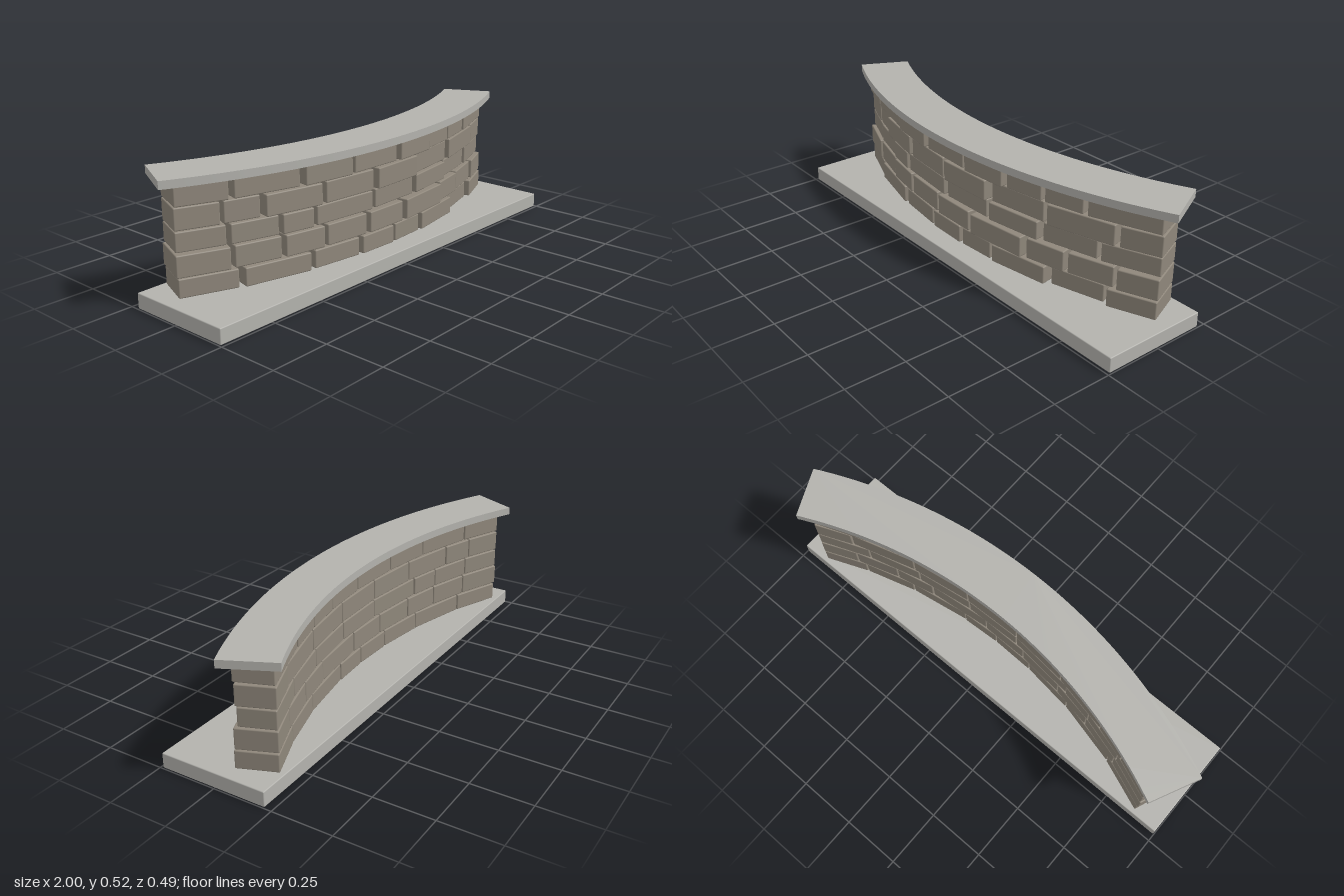
import * as THREE from 'three';
import { RoundedBoxGeometry } from 'three/addons/geometries/RoundedBoxGeometry.js';
import { toCreasedNormals } from 'three/addons/utils/BufferGeometryUtils.js';

// The wall bends around a vertical axis behind it
const CENTRE_Z = -2.124, WALL_IN = 2.111, WALL_OUT = 2.277;

// Each course: bottom, top, joint positions along the front, and how far each brick's face is pushed out
const courses = [
  { y: [0.065, 0.14], joints: [-0.945, -0.71, -0.41, -0.165, 0.037, 0.22, 0.505, 0.745, 0.945],
    push: [-0.006, 0, -0.005, 0, -0.004, 0.001, -0.022, -0.002] },
  { y: [0.145, 0.232], joints: [-0.95, -0.74, -0.538, -0.347, -0.125, 0.097, 0.395, 0.58, 0.78, 0.945],
    push: [0, -0.006, 0, -0.004, 0.001, 0.006, -0.006, -0.013, -0.004] },
  { y: [0.237, 0.315], joints: [-0.945, -0.75, -0.545, -0.395, -0.08, 0.19, 0.458, 0.708, 0.945],
    push: [-0.015, -0.012, -0.004, -0.014, -0.018, -0.011, -0.027, -0.021] },
  { y: [0.319, 0.406], joints: [-0.945, -0.77, -0.618, -0.352, -0.08, 0.198, 0.48, 0.78, 0.945],
    push: [-0.014, -0.016, -0.002, -0.008, 0.001, -0.022, -0.012, -0.014] },
  { y: [0.411, 0.491], joints: [-0.945, -0.738, -0.452, -0.207, 0.06, 0.29, 0.472, 0.65, 0.945],
    push: [-0.004, -0.006, 0.004, -0.006, 0.004, -0.008, -0.011, -0.012] },
];

export function createModel() {
  const model = new THREE.Group();
  model.name = 'curvedBrickWall';
  const slabStone = new THREE.MeshStandardMaterial({ name: 'pale grey stone', color: 0xb3b2ad });
  const brickStone = new THREE.MeshStandardMaterial({ name: 'taupe brick', color: 0x8f877b });

  // Straight footing slab
  const footing = new THREE.Mesh(new RoundedBoxGeometry(1.99, 0.063, 0.458, 2, 0.004), slabStone);
  footing.name = 'footing';
  footing.position.set(0, 0.0315, 0.011);
  model.add(footing);

  // Courses of straight bricks set around the curve, flush at the back and uneven at the front
  courses.forEach(({ y, joints, push }, row) => {
    const course = new THREE.Group();
    course.name = `course${row + 1}`;
    push.forEach((out, i) => {
      const a0 = Math.asin(joints[i] / WALL_OUT);
      const a1 = Math.asin(joints[i + 1] / WALL_OUT);
      const mid = (a0 + a1) / 2;
      const width = 2 * WALL_IN * Math.tan((a1 - a0) / 2) - 0.003;
      const depth = WALL_OUT + out - WALL_IN;
      const r = WALL_IN + depth / 2;
      const brick = new THREE.Mesh(
        new RoundedBoxGeometry(width, y[1] - y[0], depth, 2, 0.005), brickStone);
      brick.name = `brick${i + 1}`;
      brick.position.set(r * Math.sin(mid), (y[0] + y[1]) / 2, CENTRE_Z + r * Math.cos(mid));
      brick.rotation.y = mid;
      course.add(brick);
    });
    model.add(course);
  });

  // Curved coping, a ring sector laid flat on top
  const half = Math.asin(1 / 2.307);
  const sector = new THREE.Shape();
  sector.absarc(0, CENTRE_Z, 2.307, Math.PI / 2 - half, Math.PI / 2 + half, false);
  sector.absarc(0, CENTRE_Z, 2.084, Math.PI / 2 + half, Math.PI / 2 - half, true);
  const copingGeometry = new THREE.ExtrudeGeometry(sector,
    { depth: 0.032, bevelEnabled: false, curveSegments: 32 });
  copingGeometry.rotateX(Math.PI / 2);
  const coping = new THREE.Mesh(toCreasedNormals(copingGeometry, 0.5), slabStone);
  coping.name = 'coping';
  coping.position.y = 0.525;
  model.add(coping);

  return model;
}
